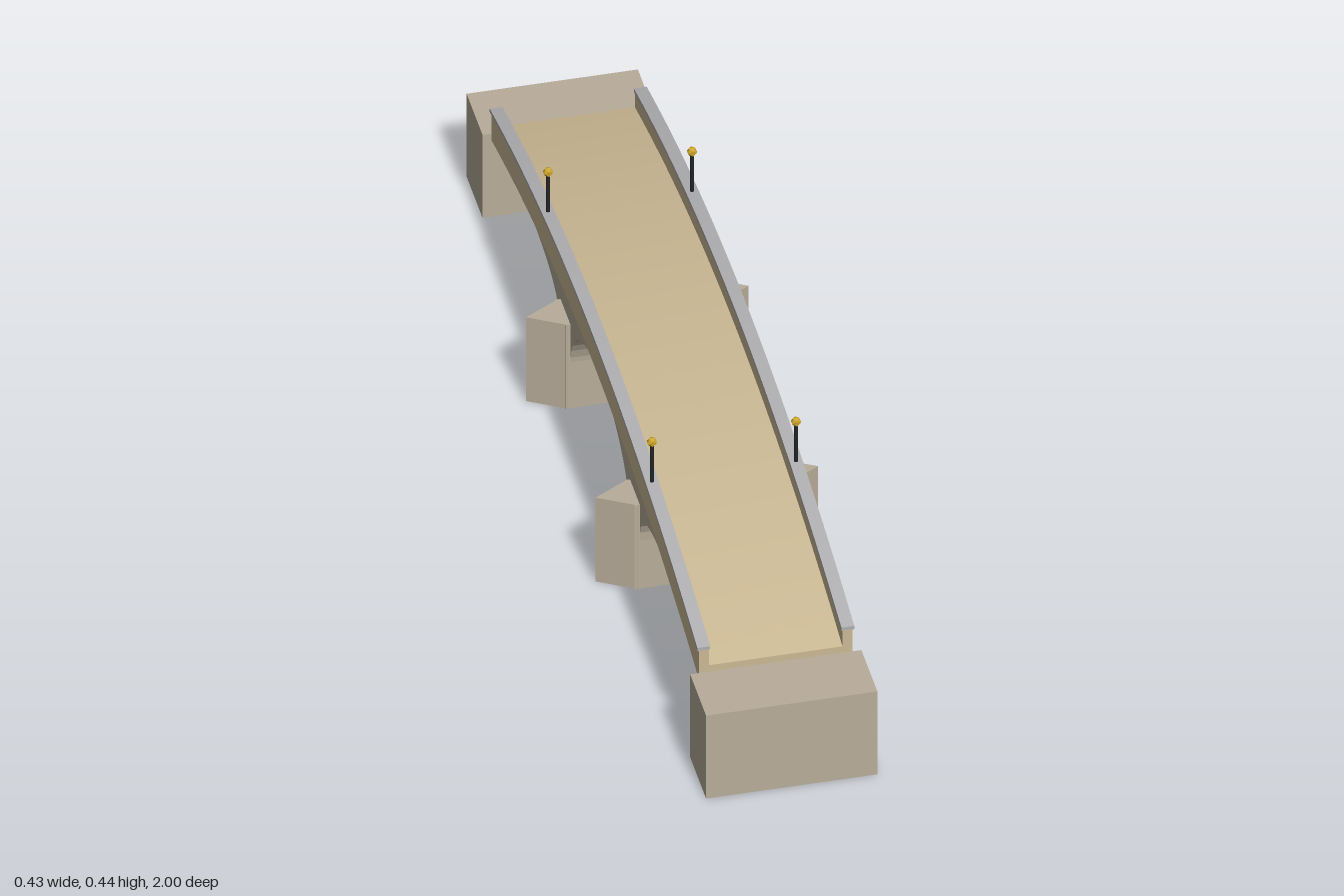
import * as THREE from 'three';
import { toCreasedNormals } from 'three/addons/utils/BufferGeometryUtils.js';

const END = 0.867;                        // half length of the span
const PIER_Z = 0.29, PIER_HALF = 0.041;
const camber = (crown, z) => crown - 0.1327 * z * z;

const mat = (color) => new THREE.MeshStandardMaterial({ color });
const stone = mat(0xb8ad9a), paving = mat(0xcbb994), coping = mat(0xb0b0b2);
const iron = mat(0x222426), brass = mat(0xc9a227);

function add(parent, name, geometry, material, x = 0, y = 0, z = 0) {
  const mesh = new THREE.Mesh(geometry, material);
  mesh.name = name;
  mesh.position.set(x, y, z);
  parent.add(mesh);
  return mesh;
}

// Extrudes a (z, y) outline across the bridge, centred on x = 0
function acrossBridge(points, width) {
  const g = new THREE.ExtrudeGeometry(new THREE.Shape(points), { depth: width, bevelEnabled: false });
  g.translate(0, 0, -width / 2);
  g.rotateY(-Math.PI / 2);
  return toCreasedNormals(g, 0.15);
}

// Curved band between two cambered lines given by their crown heights
function band(bottom, top, width) {
  const n = 32, pts = [];
  for (let i = 0; i <= n; i++) {
    const z = -END + (2 * END * i) / n;
    pts.push(new THREE.Vector2(z, camber(bottom, z)));
  }
  for (let i = n; i >= 0; i--) {
    const z = -END + (2 * END * i) / n;
    pts.push(new THREE.Vector2(z, camber(top, z)));
  }
  return acrossBridge(pts, width);
}

// Arch wall: elliptical centre arch, flatter side arches that fade into the deck
function archWall() {
  const spring = 0.1, half = [];
  for (let i = 0; i <= 12; i++) {
    const a = (i / 12) * Math.PI / 2;
    half.push([0.25 * Math.sin(a), spring + 0.163 * Math.cos(a)]);
  }
  for (let i = 0; i <= 16; i++) {
    const u = -Math.cos((i / 16) * 2.12);
    const y = spring + 0.117 * Math.cbrt(Math.max(0, 1 - Math.abs(u) ** 3));
    half.push([0.6 + 0.27 * u, y]);
  }
  const outer = half[half.length - 1][0];
  const pts = half.slice(1).reverse().map(([z, y]) => new THREE.Vector2(-z, y));
  half.forEach(([z, y]) => pts.push(new THREE.Vector2(z, y)));
  for (let i = 0; i <= 20; i++) {
    const z = outer * (1 - i / 10);
    pts.push(new THREE.Vector2(z, camber(0.288, z)));
  }
  return acrossBridge(pts, 0.28);
}

export function createModel() {
  const bridge = new THREE.Group();
  bridge.name = 'archBridge';

  // Span
  add(bridge, 'deck', band(0.283, 0.313, 0.298), paving);
  add(bridge, 'archWall', archWall(), stone);

  // Parapets with overhanging coping
  for (const s of [1, -1]) {
    add(bridge, 'parapet', band(0.283, 0.351, 0.02), paving, s * 0.14);
    add(bridge, 'coping', band(0.35, 0.358, 0.025), coping, s * 0.1405);
  }

  for (const e of [1, -1]) {
    // Abutment block
    add(bridge, 'abutment', new THREE.BoxGeometry(0.334, 0.198, 0.133), stone, 0, 0.099, e * 0.9335);

    // Pier with a pointed cutwater at each end
    const pier = new THREE.Group();
    pier.name = 'pier';
    pier.position.z = e * PIER_Z;
    bridge.add(pier);
    add(pier, 'pierBody', new THREE.BoxGeometry(0.3, 0.2, 2 * PIER_HALF), stone, 0, 0.1);
    for (const s of [1, -1]) {
      const tip = new THREE.CylinderGeometry(0.048, 0.048, 0.2, 3).toNonIndexed();
      tip.computeVertexNormals();
      tip.rotateY(s * Math.PI / 2);
      add(pier, 'cutwater', tip, stone, s * 0.169, 0.1);
    }

    // Lamps standing on the coping
    for (const s of [1, -1]) {
      const lamp = new THREE.Group();
      lamp.name = 'lamp';
      lamp.position.set(s * 0.1405, 0.331, e * 0.434);
      bridge.add(lamp);
      add(lamp, 'lampPost', new THREE.CylinderGeometry(0.004, 0.004, 0.094, 8), iron, 0, 0.047);
      add(lamp, 'lampGlobe', new THREE.IcosahedronGeometry(0.0105, 0), brass, 0, 0.096);
    }
  }
  return bridge;
}
